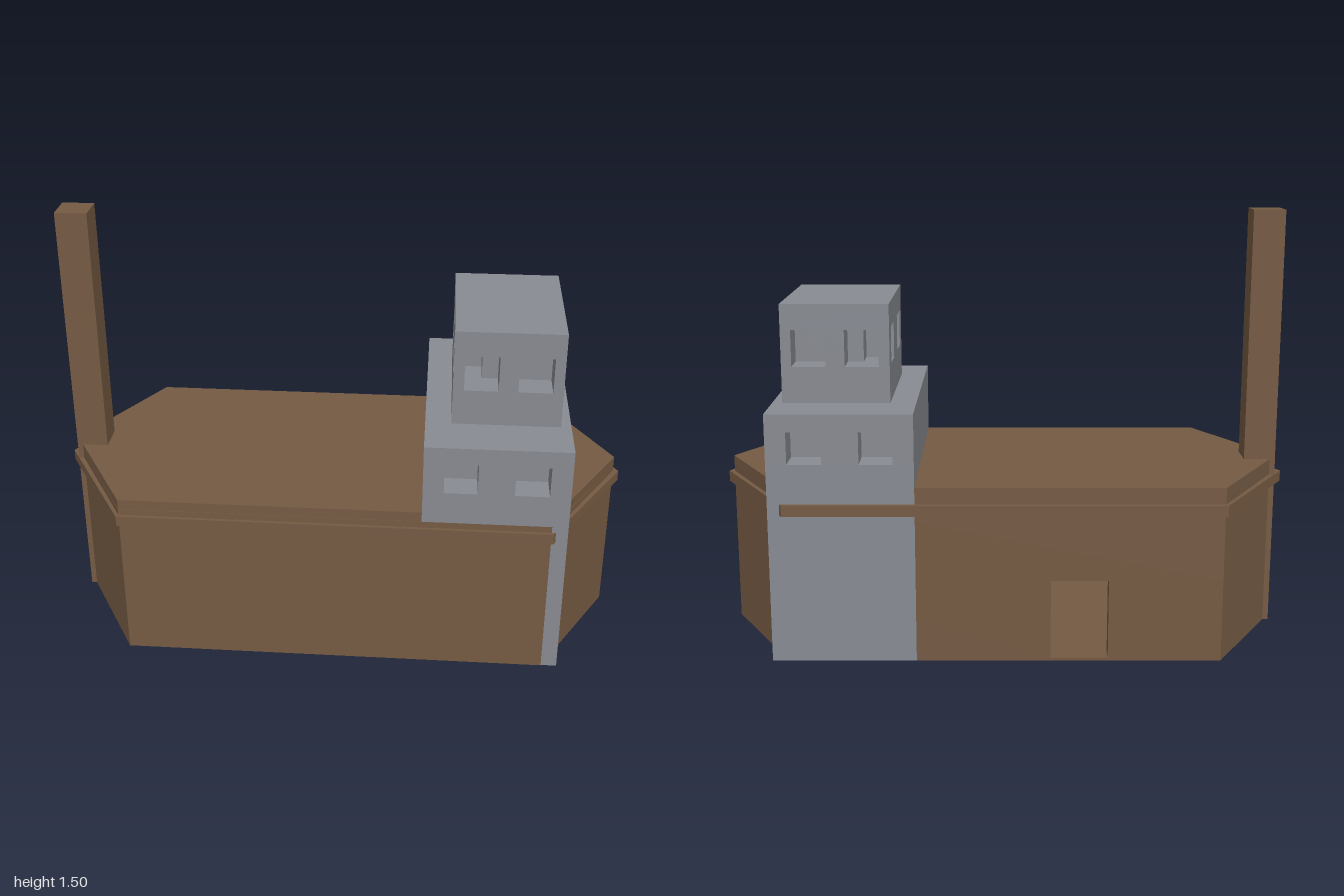
import * as THREE from 'three';

const brown = new THREE.MeshStandardMaterial({ color: 0x755a43, flatShading: true });
const grey = new THREE.MeshStandardMaterial({ color: 0x888b92, flatShading: true });

const toShape = (pts) => new THREE.Shape(pts.map(([x, z]) => new THREE.Vector2(x, z)));

// Extrudes floor-plan shapes (x, z) between two heights
function slab(name, shapes, y0, y1, material) {
  const geo = new THREE.ExtrudeGeometry(shapes, { depth: y1 - y0, bevelEnabled: false });
  geo.rotateX(Math.PI / 2).translate(0, y1, 0);
  const mesh = new THREE.Mesh(geo, material);
  mesh.name = name;
  return mesh;
}

function box(name, [x0, x1], [y0, y1], [z0, z1], material) {
  const mesh = new THREE.Mesh(new THREE.BoxGeometry(x1 - x0, y1 - y0, z1 - z0), material);
  mesh.position.set((x0 + x1) / 2, (y0 + y1) / 2, (z0 + z1) / 2);
  mesh.name = name;
  return mesh;
}

// Long hexagon pointed at both ends
const hexagon = (tip, cx, zBack, zFront) => [
  [-tip, 0], [-cx, zBack], [cx, zBack], [tip, 0], [cx, zFront], [-cx, zFront],
];

function ring(outer, inner) {
  const shape = toShape(outer);
  shape.holes.push(toShape(inner));
  return shape;
}

// Full outline from its z > 0 half
const mirrorZ = (half) => [...half, ...half.map(([x, z]) => [x, -z]).reverse()];

export function createModel() {
  const model = new THREE.Group();

  // Hollow hull with a doorway in the back wall
  const hull = new THREE.Group();
  hull.name = 'hull';
  const outer = hexagon(0.98, 0.735, -0.434, 0.436);
  const inner = hexagon(0.925, 0.71, -0.385, 0.385);
  const [doorL, doorR] = [-0.35, -0.155];
  const wallWithGap = [
    [doorL, -0.434], outer[1], outer[0], outer[5], outer[4], outer[3], outer[2], [doorR, -0.434],
    [doorR, -0.385], inner[2], inner[3], inner[4], inner[5], inner[0], inner[1], [doorL, -0.385],
  ];
  hull.add(
    slab('hullFloor', toShape(outer), 0, 0.01, brown),
    slab('lowerWall', toShape(wallWithGap), 0.01, 0.285, brown),
    slab('upperWall', ring(outer, inner), 0.285, 0.575, brown),
    slab('deck', toShape(hexagon(0.98, 0.735, -0.434, 0.434)), 0.575, 0.61, brown),
  );
  model.add(hull);

  // Rubbing band around the hull
  model.add(slab('band', ring(hexagon(1, 0.742, -0.448, 0.448), hexagon(0.97, 0.73, -0.42, 0.42)),
    0.515, 0.553, brown));

  // Mast at the bow
  model.add(box('mast', [-0.968, -0.857], [0, 1.495], [-0.055, 0.055], brown));

  // Stern tower with two recessed windows on the front and on the back
  const tower = new THREE.Group();
  tower.name = 'tower';
  const towerX = [0.3, 0.79], towerZ = [-0.435, 0.435];
  const towerPlan = mirrorZ([
    [0.3, 0.435], [0.37, 0.435], [0.37, 0.335], [0.482, 0.335], [0.482, 0.435],
    [0.605, 0.435], [0.605, 0.335], [0.72, 0.335], [0.72, 0.435], [0.79, 0.435],
  ]);
  tower.add(
    box('towerBase', towerX, [0.001, 0.69], towerZ, grey),
    slab('towerWindowLevel', toShape(towerPlan), 0.69, 0.8, grey),
    box('towerTop', towerX, [0.8, 0.86], towerZ, grey),
  );
  model.add(tower);

  // Upper cabin: window recesses on all sides, meeting behind two corner posts
  const cabin = new THREE.Group();
  cabin.name = 'cabin';
  const cabinX = [0.388, 0.755], cabinZ = [-0.26, 0.26];
  const cabinPlan = mirrorZ([
    [0.388, 0.07], [0.485, 0.07], [0.485, 0.16], [0.54, 0.16], [0.54, 0.26], [0.605, 0.26],
    [0.605, 0.16], [0.72, 0.16], [0.72, 0.26], [0.755, 0.26], [0.755, 0.076], [0.655, 0.076],
  ]);
  const post = (s) => toShape([[0.388, 0.19 * s], [0.388, 0.26 * s], [0.425, 0.26 * s], [0.425, 0.19 * s]]);
  cabin.add(
    box('cabinBase', cabinX, [0.86, 0.985], cabinZ, grey),
    slab('cabinWindowLevel', [toShape(cabinPlan), post(1), post(-1)], 0.985, 1.11, grey),
    box('cabinRoof', cabinX, [1.11, 1.198], cabinZ, grey),
  );
  model.add(cabin);

  return model;
}
